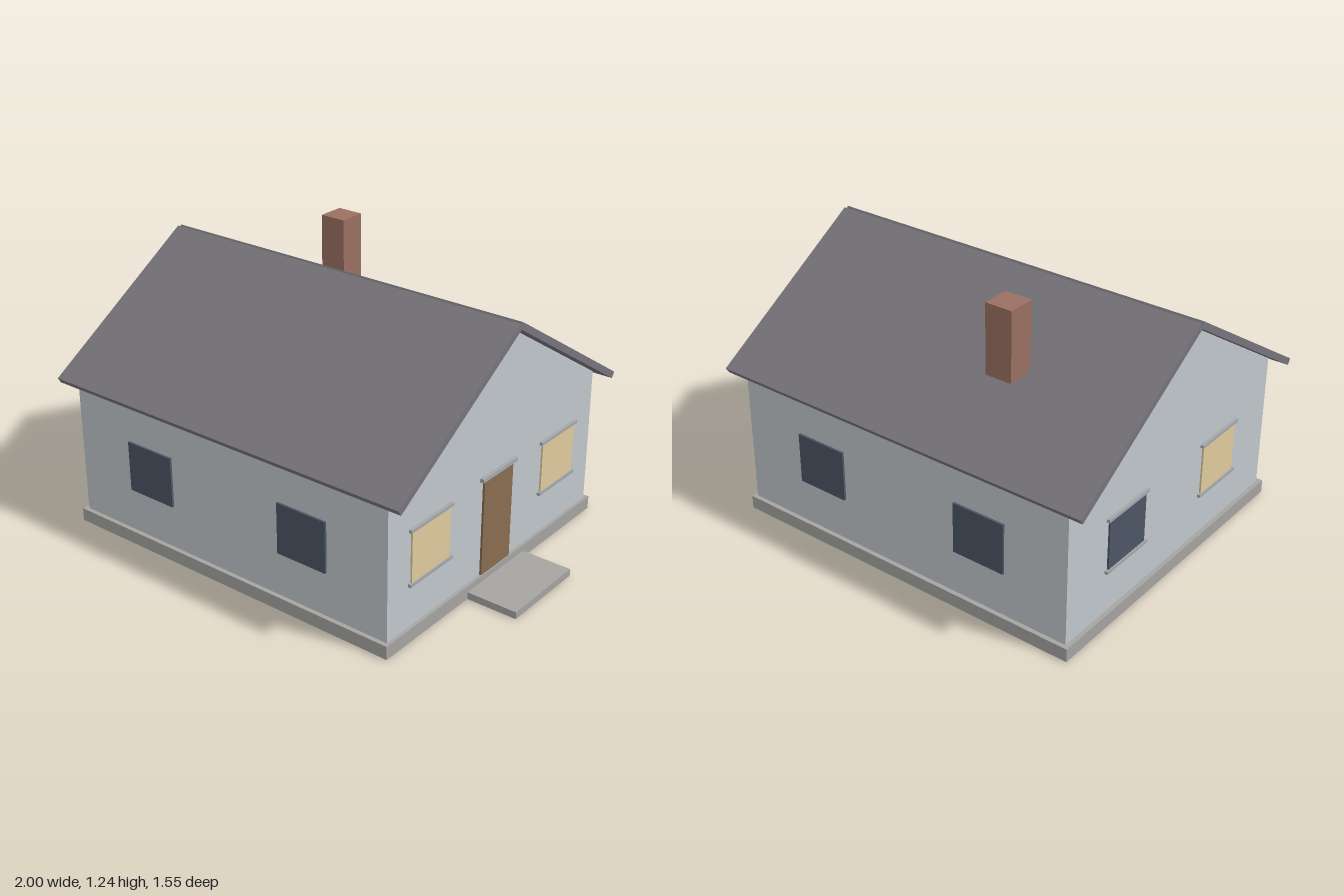
import * as THREE from 'three';

const material = (color) => new THREE.MeshStandardMaterial({ color });
const mats = {
  wall: material(0xc0c7cb), stone: material(0xa5a4a1), roof: material(0x77757b),
  brick: material(0x9a7062), door: material(0x896d50), lit: material(0xdfca9c),
  dark: material(0x4c5565), trim: material(0xa4a8ab),
};

// Box given by its minimum and maximum corners
function box(parent, name, mat, [x0, y0, z0], [x1, y1, z1]) {
  const mesh = new THREE.Mesh(new THREE.BoxGeometry(x1 - x0, y1 - y0, z1 - z0), mat);
  mesh.position.set((x0 + x1) / 2, (y0 + y1) / 2, (z0 + z1) / 2);
  mesh.name = name;
  parent.add(mesh);
  return mesh;
}

// Profile in the z-y plane, extruded along x from x0 to x1
function extrudeX(parent, name, mat, points, x0, x1) {
  const shape = new THREE.Shape(points.map(([z, y]) => new THREE.Vector2(-z, y)));
  const geo = new THREE.ExtrudeGeometry(shape, { depth: x1 - x0, bevelEnabled: false });
  geo.rotateY(Math.PI / 2);
  geo.translate(x0, 0, 0);
  const mesh = new THREE.Mesh(geo, mat);
  mesh.name = name;
  parent.add(mesh);
}

// Gable-end window with head trim and sill; dir is the way it faces along x
function gableWindow(parent, name, mat, wallX, dir, z) {
  const group = new THREE.Group();
  group.name = name;
  const out = (depth) => [Math.min(wallX, wallX + dir * depth), Math.max(wallX, wallX + dir * depth)];
  const [p0, p1] = out(0.008);
  const [t0, t1] = out(0.014);
  box(group, 'pane', mat, [p0, 0.26, z - 0.125], [p1, 0.492, z + 0.125]);
  box(group, 'headTrim', mats.trim, [t0, 0.49, z - 0.14], [t1, 0.504, z + 0.14]);
  box(group, 'sill', mats.trim, [t0, 0.249, z - 0.14], [t1, 0.263, z + 0.14]);
  parent.add(group);
}

export function createModel() {
  const house = new THREE.Group();
  house.name = 'house';

  // Base, step and walls
  box(house, 'foundation', mats.stone, [-0.94, 0, -0.75], [0.765, 0.06, 0.75]);
  box(house, 'doorStep', mats.stone, [0.76, 0, -0.207], [1, 0.032, 0.207]);
  box(house, 'walls', mats.wall, [-0.92, 0.06, -0.73], [0.75, 0.69, 0.73]);
  extrudeX(house, 'gable', mats.wall, [[0.73, 0.69], [-0.73, 0.69], [0, 1.15]], -0.928, 0.758);

  // Two roof slabs meeting at the ridge
  for (const s of [1, -1]) {
    const slab = [[0.01, 1.172], [-0.006, 1.147], [0.759, 0.665], [0.775, 0.69]];
    extrudeX(house, s > 0 ? 'frontRoof' : 'backRoof', mats.roof, slab.map(([z, y]) => [s * z, y]), -1, 0.83);
  }
  box(house, 'chimney', mats.brick, [-0.46, 0.93, -0.48], [-0.335, 1.24, -0.355]);

  // Door with lintel
  box(house, 'door', mats.door, [0.75, 0.06, -0.103], [0.76, 0.505, 0.103]);
  box(house, 'doorLintel', mats.trim, [0.75, 0.503, -0.124], [0.768, 0.52, 0.124]);

  // Plain dark windows on both long walls
  for (const s of [1, -1]) {
    for (const x of [-0.5, 0.33]) {
      const win = box(house, 'longWallWindow', mats.dark, [x - 0.123, 0.26, -0.005], [x + 0.123, 0.49, 0.005]);
      win.position.z = s * 0.735;
    }
  }

  // Trimmed windows on the gable ends
  gableWindow(house, 'doorSideWindow', mats.lit, 0.75, 1, 0.46);
  gableWindow(house, 'doorSideWindow', mats.lit, 0.75, 1, -0.46);
  gableWindow(house, 'farSideWindow', mats.lit, -0.92, -1, 0.34);
  gableWindow(house, 'farSideWindow', mats.dark, -0.92, -1, -0.34);
  return house;
}
